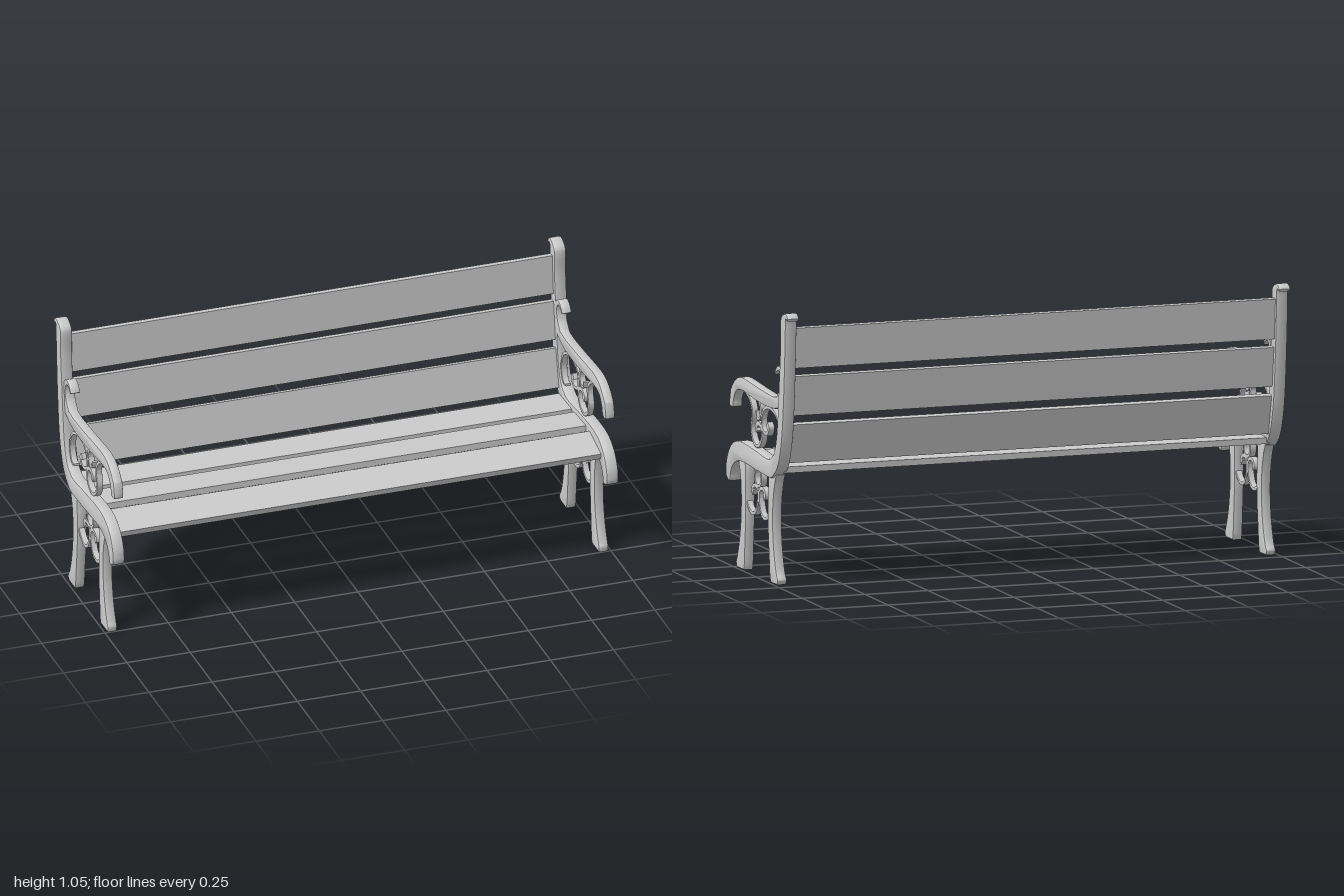
import * as THREE from 'three';
import { toCreasedNormals } from 'three/addons/utils/BufferGeometryUtils.js';

const material = new THREE.MeshStandardMaterial({ color: 0xcccccc });
const toPoints = list => list.map(([z, y]) => new THREE.Vector2(z, y));

// Extrudes a side profile drawn as (z, y) across x, centred on x = 0
function extrudeProfile(points, width, bevel) {
  const geo = new THREE.ExtrudeGeometry(new THREE.Shape(points), {
    depth: width - 2 * bevel, bevelEnabled: true, bevelThickness: bevel,
    bevelSize: bevel, bevelOffset: -bevel, bevelSegments: 2,
  });
  geo.translate(0, 0, bevel - width / 2);
  geo.rotateY(-Math.PI / 2);
  return toCreasedNormals(geo, 0.6);
}

// Solid casting whose outline runs smoothly through the points and closes straight
function casting(list, width, bevel) {
  const curve = new THREE.SplineCurve(toPoints(list));
  return extrudeProfile(curve.getPoints(list.length * 4), width, bevel);
}

// Flat bar along a curve; its half width follows widths from start to end
function scroll(list, widths, width = 0.024, bevel = 0.003) {
  const curve = new THREE.SplineCurve(toPoints(list));
  const n = list.length * 5, left = [], right = [];
  for (let i = 0; i <= n; i++) {
    const t = i / n, p = curve.getPoint(t), d = curve.getTangent(t);
    const f = t * (widths.length - 1), k = Math.min(Math.floor(f), widths.length - 2);
    const w = THREE.MathUtils.lerp(widths[k], widths[k + 1], f - k);
    left.push(new THREE.Vector2(p.x - d.y * w, p.y + d.x * w));
    right.unshift(new THREE.Vector2(p.x + d.y * w, p.y - d.x * w));
  }
  return extrudeProfile([...left, ...right], width, bevel);
}

function ring(z, y, radius, half) {
  const shape = new THREE.Shape().absarc(z, y, radius + half, 0, Math.PI * 2);
  shape.holes.push(new THREE.Path().absarc(z, y, radius - half, 0, Math.PI * 2, true));
  const geo = new THREE.ExtrudeGeometry(shape, { depth: 0.024, bevelEnabled: false, curveSegments: 20 });
  geo.translate(0, 0, -0.012);
  geo.rotateY(-Math.PI / 2);
  return toCreasedNormals(geo, 0.6);
}

// One rail from the backrest hook down, along the seat and up again
const railOutline = [
  [-0.339, 1.03], [-0.333, 1.02], [-0.315, 1.024], [-0.312, 0.98], [-0.306, 0.87], [-0.295, 0.73],
  [-0.278, 0.592], [-0.25, 0.494], [-0.22, 0.444], [-0.183, 0.414], [-0.144, 0.398], [-0.04, 0.4],
  [0.1, 0.408], [0.2, 0.407], [0.26, 0.383], [0.287, 0.347], [0.294, 0.322], [0.31, 0.317],
  [0.336, 0.333], [0.339, 0.361], [0.33, 0.397], [0.303, 0.439], [0.26, 0.469], [0.21, 0.483],
  [0.136, 0.486], [0.017, 0.478], [-0.108, 0.467], [-0.156, 0.478], [-0.192, 0.508], [-0.217, 0.578],
  [-0.233, 0.689], [-0.247, 0.814], [-0.258, 0.925], [-0.258, 1.01], [-0.275, 1.035], [-0.308, 1.047],
  [-0.328, 1.042],
];
const armOutline = [
  [0.325, 0.62], [0.322, 0.599], [0.287, 0.598], [0.281, 0.625], [0.261, 0.656], [0.23, 0.672],
  [0.178, 0.675], [0.1, 0.667], [-0.039, 0.658], [-0.15, 0.661], [-0.205, 0.672], [-0.25, 0.694],
  [-0.25, 0.725], [-0.215, 0.722], [-0.192, 0.714], [-0.136, 0.708], [-0.011, 0.714], [0.1, 0.722],
  [0.183, 0.726], [0.239, 0.717], [0.281, 0.694], [0.314, 0.661],
];
const frontLegOutline = [
  [0.247, 0], [0.252, 0.02], [0.242, 0.04], [0.217, 0.105], [0.2, 0.19], [0.197, 0.285], [0.206, 0.355],
  [0.225, 0.42], [0.156, 0.42], [0.147, 0.29], [0.147, 0.2], [0.156, 0.09], [0.161, 0.025], [0.168, 0],
];
const rearLegOutline = [
  [-0.192, 0], [-0.203, 0.018], [-0.183, 0.05], [-0.158, 0.133], [-0.147, 0.23], [-0.153, 0.314],
  [-0.172, 0.383], [-0.185, 0.42], [-0.112, 0.42], [-0.1, 0.355], [-0.094, 0.286], [-0.097, 0.19],
  [-0.108, 0.09], [-0.115, 0.025], [-0.125, 0],
];

// Centre lines of the ornamental ironwork
const lowerCurl = [
  [0.155, 0.265], [0.128, 0.238], [0.094, 0.226], [0.058, 0.238], [0.036, 0.275], [0.031, 0.308],
  [0.042, 0.329], [0.066, 0.336], [0.088, 0.329], [0.095, 0.314], [0.085, 0.307],
];
const mirroredCurl = lowerCurl.map(([z, y]) => [0.054 - z, y]);
const frontScroll = [
  [0.185, 0.68], [0.133, 0.66], [0.1, 0.625], [0.097, 0.592], [0.108, 0.55], [0.094, 0.511],
  [0.061, 0.489], [0.022, 0.494], [-0.003, 0.519], [-0.008, 0.55], [0.008, 0.572], [0.036, 0.575],
  [0.055, 0.56], [0.047, 0.543],
];
const hookScroll = [[0.036, 0.672], [0.012, 0.65], [0.005, 0.62], [0.022, 0.595], [0.046, 0.598], [0.053, 0.622]];
const rearScroll = [
  [-0.15, 0.506], [-0.175, 0.505], [-0.195, 0.53], [-0.201, 0.569], [-0.183, 0.619], [-0.136, 0.647],
  [-0.08, 0.654], [-0.031, 0.639], [-0.007, 0.603], [-0.013, 0.565], [-0.044, 0.549], [-0.07, 0.556],
  [-0.079, 0.577], [-0.062, 0.587],
];
const armCurl = [
  [-0.205, 0.697], [-0.233, 0.735], [-0.242, 0.775], [-0.236, 0.808], [-0.214, 0.824],
  [-0.189, 0.815], [-0.172, 0.797],
];

export function createModel() {
  const bench = new THREE.Group();
  bench.name = 'bench';

  const bar = [0.007, 0.007, 0.007, 0.008, 0.012];
  const parts = [
    ['frameRail', casting(railOutline, 0.048, 0.007), 0.976],
    ['armrest', casting(armOutline, 0.038, 0.006), 0.971],
    ['armrestCurl', scroll(armCurl, [0.02, 0.015, 0.01, 0.011, 0.009, 0.006, 0.003], 0.038, 0.002), 0.971],
    ['frontLeg', casting(frontLegOutline, 0.038, 0.005), 0.971],
    ['rearLeg', casting(rearLegOutline, 0.038, 0.005), 0.971],
    ['lowerFrontCurl', scroll(lowerCurl, bar), 0.971],
    ['lowerRearCurl', scroll(mirroredCurl, bar), 0.971],
    ['lowerRing', ring(0.03, 0.375, 0.036, 0.006), 0.971],
    ['upperFrontScroll', scroll(frontScroll, bar), 0.971],
    ['upperHook', scroll(hookScroll, [0.009, 0.008, 0.007, 0.004]), 0.971],
    ['upperRearScroll', scroll(rearScroll, [0.005, 0.006, 0.007, 0.007, 0.012]), 0.971],
  ];

  // Matching cast end frames
  for (const [name, side] of [['leftEndFrame', 1], ['rightEndFrame', -1]]) {
    const frame = new THREE.Group();
    frame.name = name;
    for (const [part, geo, x] of parts) {
      const mesh = new THREE.Mesh(geo, material);
      mesh.name = part;
      mesh.position.x = side * x;
      frame.add(mesh);
    }
    bench.add(frame);
  }

  // Slats, each from a front/lower edge to a rear/upper edge as (z, y)
  const slats = [
    ['seatSlat', [0.273, 0.418], [0.142, 0.45]],
    ['seatSlat', [0.105, 0.452], [-0.03, 0.443]],
    ['seatSlat', [-0.057, 0.441], [-0.203, 0.435]],
    ['backSlat', [-0.215, 0.468], [-0.251, 0.618]],
    ['backSlat', [-0.256, 0.652], [-0.276, 0.804]],
    ['backSlat', [-0.279, 0.835], [-0.291, 0.989]],
  ];
  for (const [name, [z0, y0], [z1, y1]] of slats) {
    const length = Math.hypot(z1 - z0, y1 - y0);
    const mesh = new THREE.Mesh(new THREE.BoxGeometry(1.93, 0.024, length), material);
    mesh.name = name;
    mesh.position.set(0, (y0 + y1) / 2, (z0 + z1) / 2);
    mesh.rotation.x = -Math.atan2(y1 - y0, z1 - z0);
    bench.add(mesh);
  }
  return bench;
}
